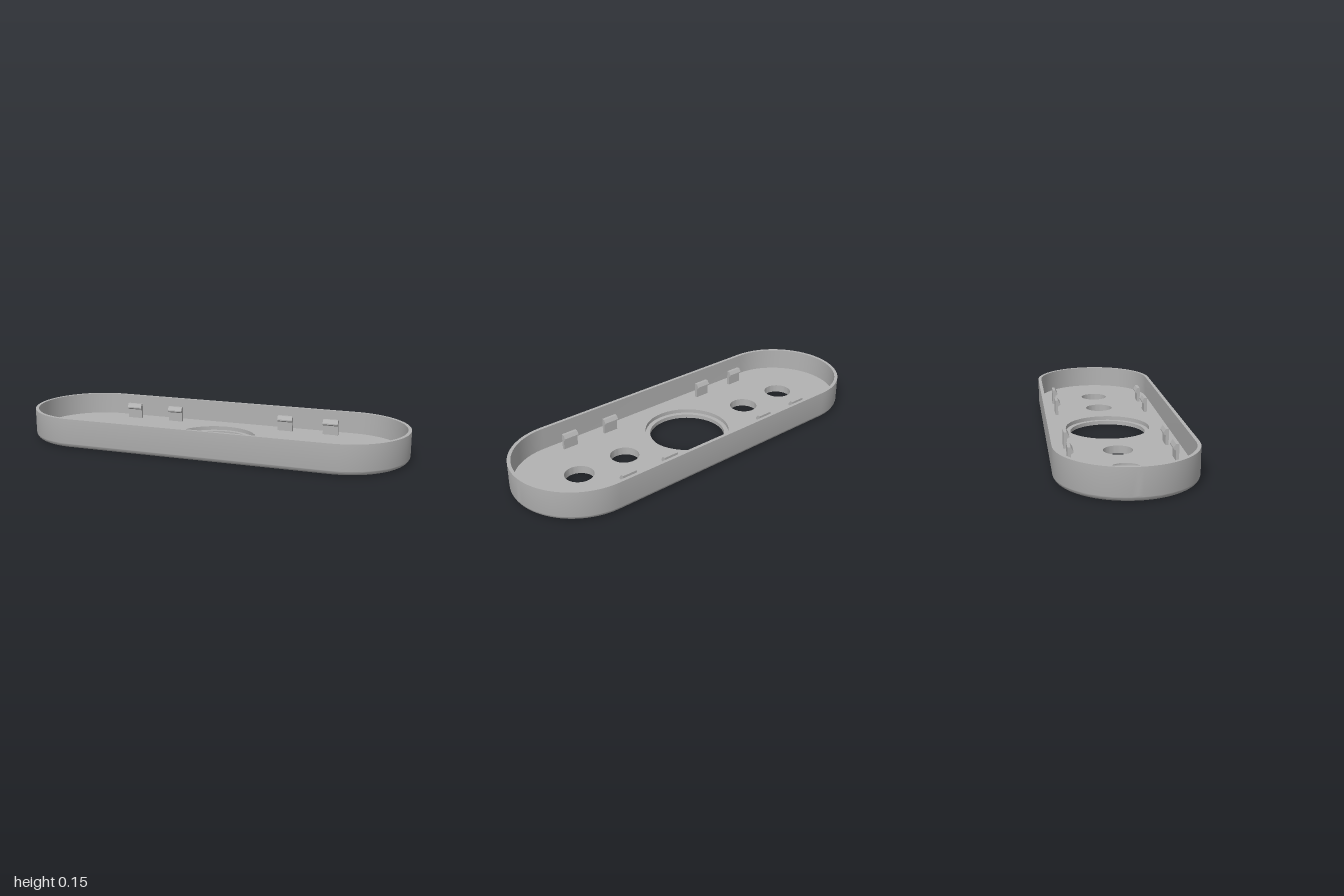
import * as THREE from 'three';
import { toCreasedNormals } from 'three/addons/utils/BufferGeometryUtils.js';

const CENTER = 0.673, RADIUS = 0.327, HEIGHT = 0.153;
const WALL = 0.017, FLOOR = 0.04, FILLET = 0.03, LEDGE = 0.02;
const BORE = 0.193, COUNTERBORE = 0.216, HOLE = 0.072;
const HOLE_X = [-0.673, -0.405, 0.405, 0.673];
const CLIP_X = [-0.56, -0.315, 0.315, 0.56];

// Stadium outline as [x, z] points, moved inwards by inset
function outline(inset, steps = 40) {
  const points = [];
  for (const side of [1, -1]) {
    for (let i = 0; i <= steps; i++) {
      const a = (i / steps - 0.5) * Math.PI + (side < 0 ? Math.PI : 0);
      const r = RADIUS - inset;
      points.push([side * CENTER + r * Math.cos(a), r * Math.sin(a)]);
    }
  }
  return points;
}

// Sweep an [inset, y] profile around the stadium
function sweep(profile) {
  const positions = [], index = [];
  const n = outline(0).length;
  profile.forEach(([inset, y], j) => {
    outline(inset).forEach(([x, z], k) => {
      positions.push(x, y, z);
      if (j === profile.length - 1) return;
      const a = j * n + k, b = j * n + (k + 1) % n;
      index.push(a, a + n, b, b, a + n, b + n);
    });
  });
  const geo = new THREE.BufferGeometry();
  geo.setAttribute('position', new THREE.Float32BufferAttribute(positions, 3));
  geo.setIndex(index);
  return toCreasedNormals(geo, 0.5);
}

// Flat stadium plate with the row of holes
function plate(inset, boreRadius) {
  const shape = new THREE.Shape(outline(inset).map(([x, z]) => new THREE.Vector2(x, z)));
  const cut = (x, r) => shape.holes.push(new THREE.Path().absarc(x, 0, r, 0, Math.PI * 2, true));
  cut(0, boreRadius);
  HOLE_X.forEach((x) => cut(x, HOLE));
  return new THREE.ShapeGeometry(shape, 32);
}

// Inward-facing hole lining; the profile runs from top to bottom
function lining(profile) {
  const points = profile.map(([r, y]) => new THREE.Vector2(r, y));
  return toCreasedNormals(new THREE.LatheGeometry(points, 64), 0.5);
}

export function createModel() {
  const model = new THREE.Group();
  const grey = new THREE.MeshStandardMaterial({ color: 0xb2b2b2 });
  grey.name = 'grey plastic';
  const add = (name, geometry) => {
    const mesh = new THREE.Mesh(geometry, grey);
    mesh.name = name;
    model.add(mesh);
    return mesh;
  };

  // Rounded lower edge, outer wall, rim and inner wall
  const profile = [];
  for (let i = 0; i <= 8; i++) {
    const a = (i / 8) * Math.PI / 2;
    profile.push([FILLET * (1 - Math.sin(a)), FILLET * (1 - Math.cos(a))]);
  }
  profile.push([0, HEIGHT], [WALL, HEIGHT], [WALL, FLOOR]);
  add('wall', sweep(profile));

  // Underside and inside floor
  add('underside', plate(FILLET, BORE).rotateX(Math.PI / 2));
  add('floor', plate(WALL, COUNTERBORE).rotateX(-Math.PI / 2)).position.y = FLOOR;

  // Stepped central opening and four small holes
  add('centralOpening', lining([
    [COUNTERBORE, FLOOR], [COUNTERBORE, LEDGE], [BORE, LEDGE], [BORE, 0],
  ]));
  const holeGeometry = lining([[HOLE, FLOOR], [HOLE, 0]]);
  HOLE_X.forEach((x) => { add('smallHole', holeGeometry).position.x = x; });

  // Snap clips with hooks towards the middle, mirrored front and back
  const clipShape = new THREE.Shape([
    [0.253, FLOOR - 0.005], [0.253, 0.12], [0.238, 0.12], [0.226, 0.102],
    [0.226, 0.096], [0.238, 0.088], [0.238, FLOOR - 0.005],
  ].map(([z, y]) => new THREE.Vector2(z, y)));
  const clipGeometry = new THREE.ExtrudeGeometry(clipShape, { depth: 0.08, bevelEnabled: false })
    .translate(0, 0, -0.04).rotateY(-Math.PI / 2);
  for (const turn of [0, Math.PI]) {
    for (const x of CLIP_X) {
      const clip = add('snapClip', clipGeometry);
      clip.position.x = x;
      clip.rotation.y = turn;
    }
  }
  return model;
}
